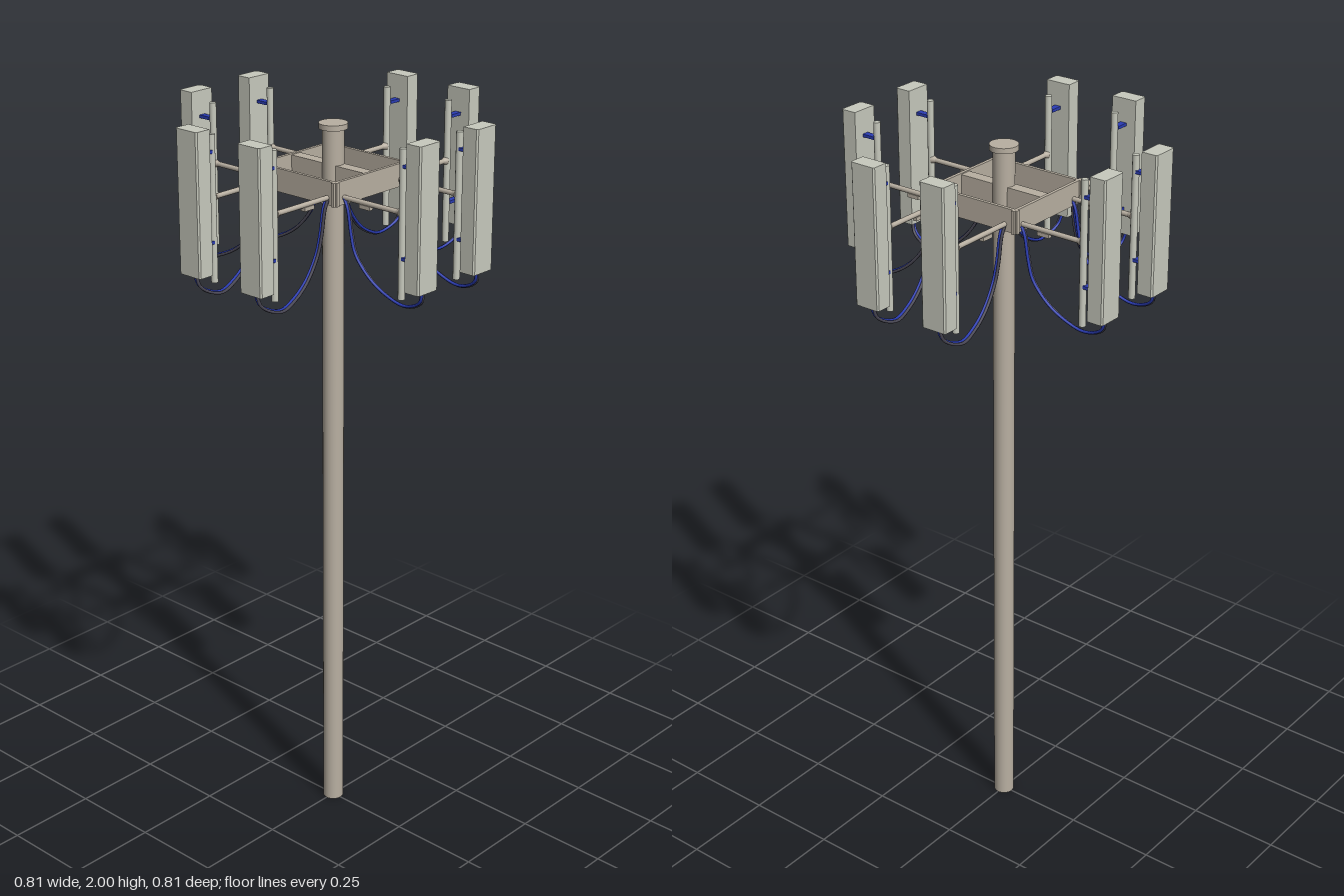
import * as THREE from 'three';

const mat = (color) => new THREE.MeshStandardMaterial({ color });
const steel = mat(0xb9b0a2), shell = mat(0xc8cabe), blue = mat(0x2a3cb4), dark = mat(0x4a4855);

function add(parent, name, geometry, material, x = 0, y = 0, z = 0) {
  const mesh = new THREE.Mesh(geometry, material);
  mesh.name = name;
  mesh.position.set(x, y, z);
  parent.add(mesh);
  return mesh;
}
const box = (w, h, d) => new THREE.BoxGeometry(w, h, d);

// Antenna panel: rectangular section with small chamfers on the outer corners
function panelGeometry() {
  const s = new THREE.Shape([
    [0.36, -0.036], [0.4, -0.036], [0.404, -0.032], [0.404, 0.032], [0.4, 0.036], [0.36, 0.036],
  ].map(([x, y]) => new THREE.Vector2(x, y)));
  const g = new THREE.ExtrudeGeometry(s, { depth: 0.365, bevelEnabled: false });
  return g.rotateX(-Math.PI / 2).translate(0, 1.635, 0);
}

// Hanging feed cable from the panel's underside back to the frame
function cableGeometry(shift) {
  const pts = [
    [0.386, 1.637, 0], [0.375, 1.602, -0.007], [0.317, 1.577, -0.016], [0.265, 1.592, -0.012],
    [0.215, 1.625, -0.006], [0.172, 1.68, 0], [0.157, 1.73, 0], [0.146, 1.79, 0], [0.135, 1.815, 0],
  ].map(([x, y, z]) => new THREE.Vector3(x, y + shift * 0.5, z + shift));
  return new THREE.TubeGeometry(new THREE.CatmullRomCurve3(pts), 40, 0.004, 6);
}

// One outrigger pointing along +x
function createOutrigger() {
  const g = new THREE.Group();
  g.name = 'outrigger';
  const arm = add(g, 'arm', new THREE.CylinderGeometry(0.0065, 0.0065, 0.192, 12), steel, 0.222, 1.817, 0);
  arm.rotation.z = Math.PI / 2;
  add(g, 'cableClamp', box(0.034, 0.01, 0.012), steel, 0.203, 1.807, 0);
  add(g, 'mountPipe', new THREE.CylinderGeometry(0.009, 0.009, 0.375, 12), shell, 0.32, 1.7875, 0);
  const collar = add(g, 'collar', new THREE.CylinderGeometry(0.011, 0.0065, 0.012, 12), steel, 0.309, 1.817, 0);
  collar.rotation.z = -Math.PI / 2;
  for (const y of [1.705, 1.933]) add(g, 'panelBracket', box(0.036, 0.008, 0.018), blue, 0.343, y, 0);
  add(g, 'antennaPanel', panelGeometry(), shell);
  add(g, 'darkCable', cableGeometry(-0.003), dark);
  add(g, 'blueCable', cableGeometry(0.003), blue);
  return g;
}

export function createModel() {
  const model = new THREE.Group();
  model.name = 'antennaMast';

  // Pole and cap
  add(model, 'pole', new THREE.CylinderGeometry(0.028, 0.028, 1.95, 24), steel, 0, 0.975, 0);
  add(model, 'poleCap', new THREE.CylinderGeometry(0.037, 0.037, 0.014, 32), steel, 0, 1.953, 0);

  // Square frame of upright plates with a cross beam through the pole
  const frame = new THREE.Group();
  frame.name = 'frame';
  frame.position.set(-0.002, 1.829, -0.003);
  for (const s of [-1, 1]) {
    add(frame, 'framePlate', box(0.278, 0.06, 0.009), steel, 0, 0, s * 0.13);
    add(frame, 'framePlate', box(0.009, 0.06, 0.278), steel, s * 0.128, 0, 0);
  }
  add(frame, 'crossBeam', box(0.032, 0.054, 0.252), steel, 0.002, 0, 0);
  model.add(frame);

  // Four sides, two outriggers each
  for (let i = 0; i < 4; i++) {
    const side = new THREE.Group();
    side.name = 'antennaSide';
    side.rotation.y = i * Math.PI / 2;
    for (const z of [-0.104, 0.104]) {
      const o = createOutrigger();
      o.position.z = z;
      side.add(o);
    }
    model.add(side);
  }
  return model;
}
